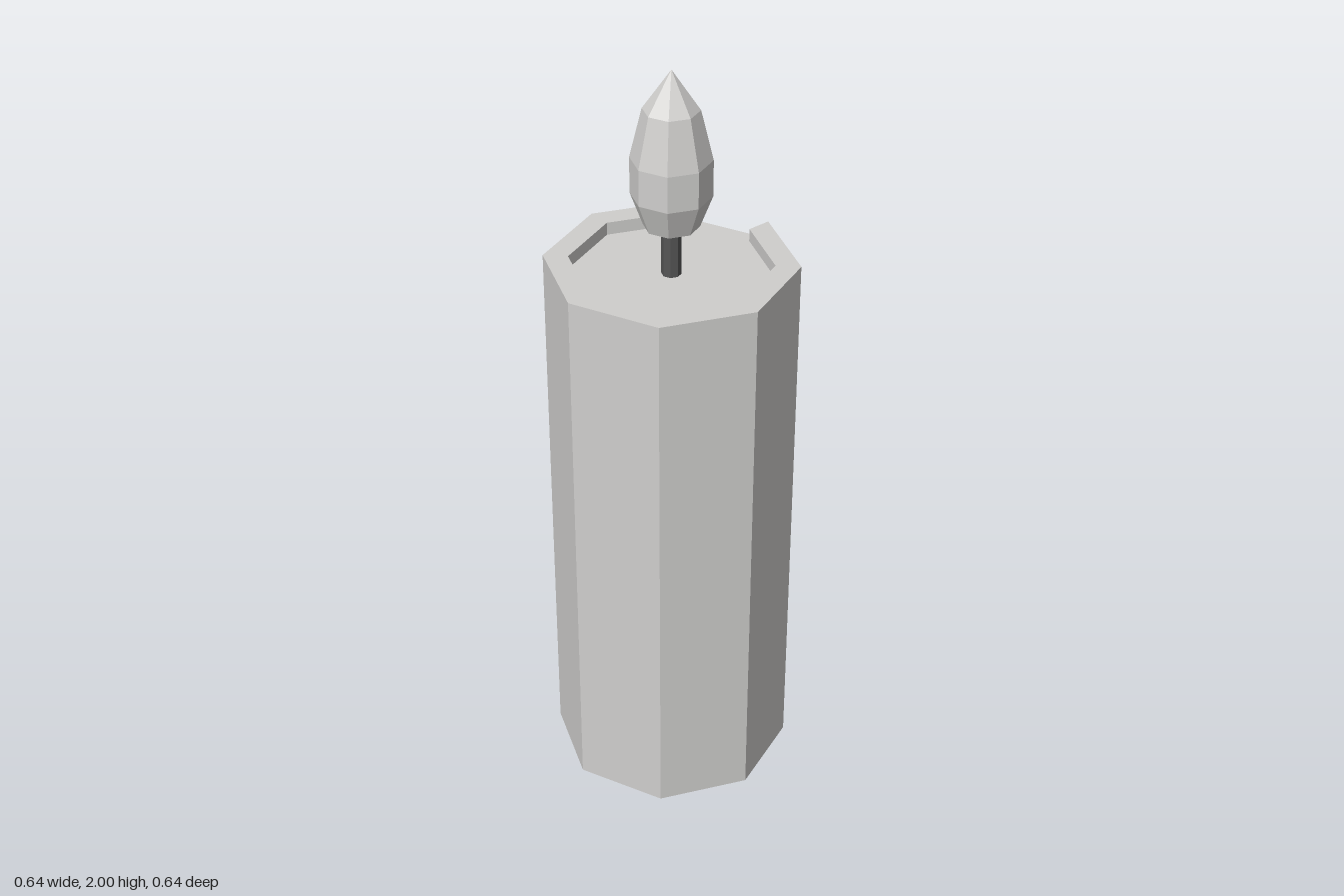
import * as THREE from 'three';

const SIDES = 8;
const R = 0.318;       // outer radius
const RIM = 0.255;     // inner radius of the rim
const TOP = 1.494;     // top of the rim
const FLOOR = 1.46;    // wax floor inside the rim
const LIP = 1.44;      // worn outer edge under the gap in the rim

const toPoints = (list) => list.map(([x, y]) => new THREE.Vector2(x, y));

// Faceted lathe; the profile runs from bottom to top
function facetedLathe(profile, sides = SIDES, start = 0, length = Math.PI * 2) {
  const geometry = new THREE.LatheGeometry(toPoints(profile), sides, start, length).toNonIndexed();
  geometry.computeVertexNormals();
  return geometry;
}

export function createModel() {
  const wax = new THREE.MeshStandardMaterial({ color: 0xcfcecc, flatShading: true });
  wax.name = 'paleWax';
  const char = new THREE.MeshStandardMaterial({ color: 0x555555, flatShading: true });
  char.name = 'darkWick';

  const group = new THREE.Group();
  group.name = 'candle';
  const add = (name, geometry, material) => {
    const mesh = new THREE.Mesh(geometry, material);
    mesh.name = name;
    group.add(mesh);
    return mesh;
  };

  // Solid column with a small chamfer that shows in the gap
  add('body', facetedLathe([[0, 0], [R, 0], [R, LIP], [0.293, FLOOR], [0, FLOOR]]), wax);

  // Raised rim around seven of the eight sides
  const section = [[R, LIP], [R, TOP], [RIM, TOP], [RIM, FLOOR]];
  add('rim', facetedLathe(section, SIDES - 1, Math.PI, Math.PI * 1.75), wax);

  // End faces of the rim, facing into the gap
  const outline = [...section, [0.293, FLOOR]];
  const endAtBack = add('rimEndBack', new THREE.ShapeGeometry(new THREE.Shape(toPoints(outline))), wax);
  endAtBack.rotation.y = Math.PI / 2;
  const mirrored = outline.map(([x, y]) => [-x, y]);
  const endAtSide = add('rimEndSide', new THREE.ShapeGeometry(new THREE.Shape(toPoints(mirrored))), wax);
  endAtSide.rotation.y = Math.PI * 1.25;

  // Wick
  add('wick', new THREE.CylinderGeometry(0.025, 0.025, 0.16, SIDES), char).position.y = 1.53;

  // Flame
  add('flame', facetedLathe([[0, 1.594], [0.07, 1.594], [0.101, 1.677], [0.101, 1.772], [0.07, 1.9], [0, 2]]), wax);

  return group;
}
